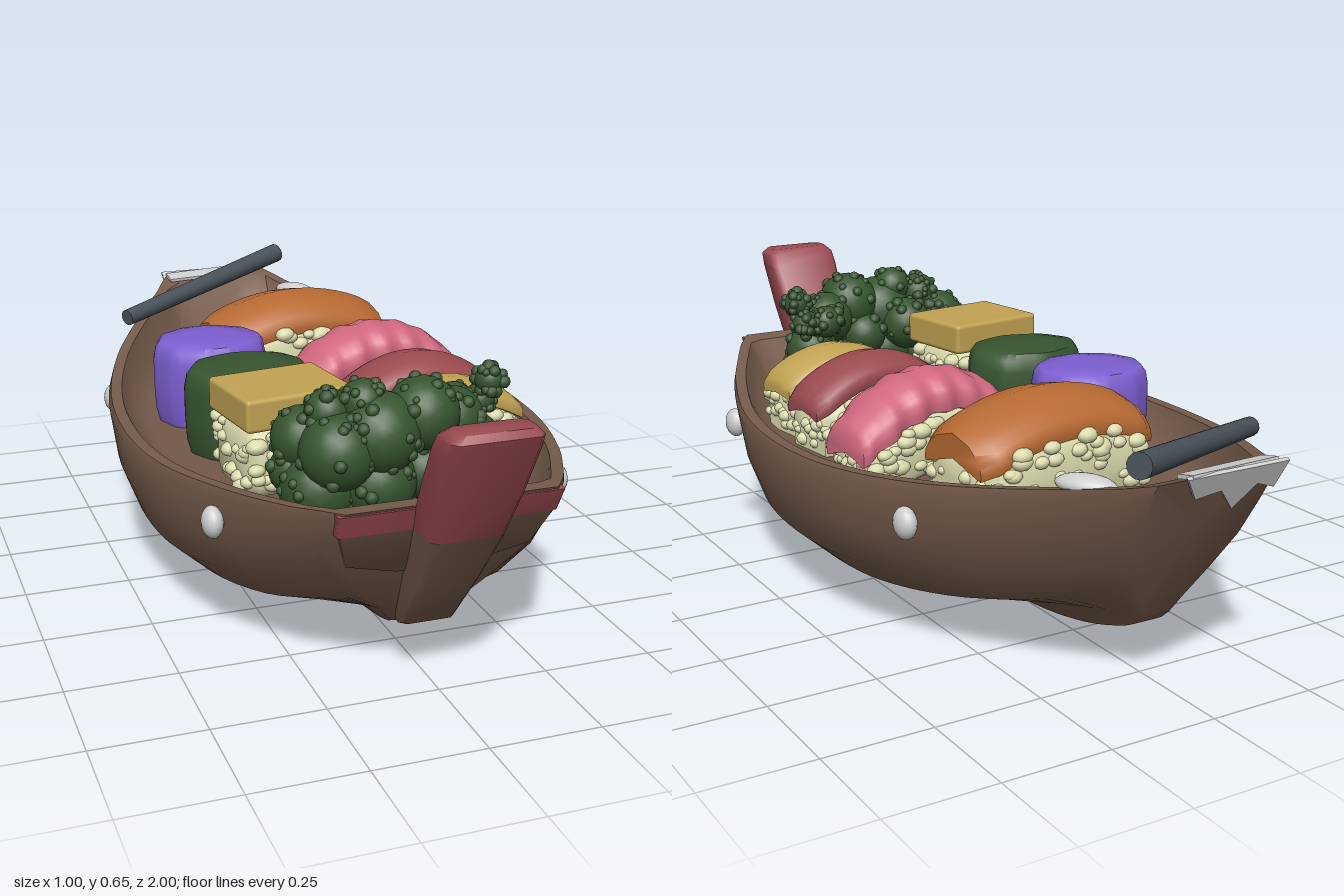
import * as THREE from 'three';
import { mergeGeometries, toCreasedNormals } from 'three/addons/utils/BufferGeometryUtils.js';
import { RoundedBoxGeometry } from 'three/addons/geometries/RoundedBoxGeometry.js';

const colours = {
  wood: 0x765c4b, red: 0x9a4a50, leaf: 0x36542f, purple: 0x7d5fd0, egg: 0xc2a352,
  salmon: 0xb86a32, prawn: 0xd0687e, rice: 0xdcdcae, shell: 0xcfcfcf, slate: 0x48525a,
};
const lerp = THREE.MathUtils.lerp;
const FLOOR = 0.325;

export function createModel() {
  const root = new THREE.Group();
  root.name = 'foodBoat';
  const mats = {};
  for (const [name, color] of Object.entries(colours)) {
    mats[name] = new THREE.MeshStandardMaterial({ color });
    mats[name].name = name;
  }
  let seed = 7;
  const rnd = () => (seed = (seed * 16807) % 2147483647) / 2147483647;

  function add(name, geo, mat, parent = root) {
    const mesh = new THREE.Mesh(geo, mats[mat]);
    mesh.name = name;
    parent.add(mesh);
    return mesh;
  }

  // Skin a row of closed rings and cap both ends
  function loft(rings, crease = 0.65) {
    const n = rings[0].length, pos = rings.flat(2), idx = [];
    for (let i = 0; i < rings.length - 1; i++) {
      for (let j = 0; j < n; j++) {
        const a = i * n + j, b = i * n + (j + 1) % n;
        idx.push(a, b, b + n, a, b + n, a + n);
      }
    }
    [0, rings.length - 1].forEach((r, end) => {
      const centre = pos.length / 3;
      for (let k = 0; k < 3; k++) pos.push(rings[r].reduce((s, p) => s + p[k], 0) / n);
      for (let j = 0; j < n; j++) {
        const a = r * n + j, b = r * n + (j + 1) % n;
        if (end) idx.push(centre, a, b); else idx.push(centre, b, a);
      }
    });
    const geo = new THREE.BufferGeometry();
    geo.setAttribute('position', new THREE.Float32BufferAttribute(pos, 3));
    geo.setIndex(idx);
    return toCreasedNormals(geo, crease);
  }

  // Hull: half sections (x, y as fractions) blended from midship to the ends
  const mid = [[0.04, 0], [0.22, 0.17], [0.74, 0.24], [0.9, 0.42], [0.97, 0.66], [1, 0.95], [0.985, 1]];
  const tip = [[0.22, 0], [0.36, 0.12], [0.6, 0.3], [0.85, 0.52], [0.95, 0.75], [1, 0.95], [0.98, 1]];
  // top z, bottom z, half width, rim y, keel y, end blend, hollow
  const stations = [
    [-0.98, -0.80, 0.15, 0.51, 0.15, 1, 0],
    [-0.935, -0.77, 0.18, 0.497, 0.125, 0.9, 0],
    [-0.90, -0.74, 0.198, 0.488, 0.11, 0.8, 1],
    [-0.70, -0.60, 0.315, 0.45, 0.065, 0.4, 1],
    [-0.50, -0.43, 0.41, 0.42, 0.03, 0.15, 1],
    [-0.25, -0.22, 0.48, 0.395, 0.008, 0, 1],
    [0, 0, 0.5, 0.385, 0, 0, 1],
    [0.25, 0.22, 0.475, 0.39, 0.008, 0, 1],
    [0.50, 0.42, 0.395, 0.41, 0.035, 0.15, 1],
    [0.68, 0.55, 0.31, 0.43, 0.075, 0.5, 1],
    [0.735, 0.59, 0.28, 0.44, 0.095, 0.75, 1],
    [0.75, 0.60, 0.27, 0.442, 0.10, 0.85, 0],
    [0.80, 0.63, 0.235, 0.448, 0.115, 1, 0],
  ];
  // Fair the hull by adding smooth stations along the hollow part
  const faired = [];
  stations.forEach((row, i) => {
    faired.push(row);
    const next = stations[i + 1];
    if (!next || !row[6] || !next[6]) return;
    for (const t of [0.25, 0.5, 0.75]) {
      faired.push(row.map((p1, k) => {
        const p2 = next[k];
        const m1 = (p2 - stations[i - 1][k]) / (next[0] - stations[i - 1][0]) * (next[0] - row[0]);
        const m2 = (stations[i + 2][k] - p1) / (stations[i + 2][0] - row[0]) * (next[0] - row[0]);
        const t2 = t * t, t3 = t2 * t;
        if (k === 6) return 1;
        return (2 * t3 - 3 * t2 + 1) * p1 + (t3 - 2 * t2 + t) * m1 + (3 * t2 - 2 * t3) * p2 + (t3 - t2) * m2;
      }));
    }
  });
  const hullRings = faired.map(([zt, zb, w, rim, keel, b, hollow]) => {
    const half = mid.map((m, i) => [w * lerp(m[0], tip[i][0], b), lerp(keel, rim, lerp(m[1], tip[i][1], b))]);
    const floor = hollow ? FLOOR : rim;
    half.push([w - 0.035, rim], [w - 0.06, lerp(rim, floor, 0.65)], [w - 0.1, floor]);
    const full = [...half, ...half.map(([x, y]) => [-x, y]).reverse()];
    return full.map(([x, y]) => [x, y, lerp(zb, zt, (y - keel) / (rim - keel))]);
  });
  add('hull', loft(hullRings, 0.8), 'wood');

  // Bow post and transom: stacked rectangles with cut corners [y, half width, back z, front z]
  const stack = (rows, cut) => loft(rows.map(([y, x, b, f]) => [
    [x - cut, y, f], [x, y, f - cut], [x, y, b + cut], [x - cut, y, b],
    [cut - x, y, b], [-x, y, b + cut], [-x, y, f - cut], [cut - x, y, f],
  ]), 0.9);
  add('stem', stack([[0.115, 0.052, 0.58, 0.655], [0.135, 0.058, 0.6, 0.695], [0.26, 0.068, 0.66, 0.79],
    [0.395, 0.08, 0.76, 0.88]], 0.012), 'wood');
  add('bowPost', stack([[0.395, 0.08, 0.76, 0.88], [0.5, 0.09, 0.82, 0.935], [0.61, 0.098, 0.89, 0.985],
    [0.64, 0.096, 0.91, 1.0], [0.655, 0.082, 0.93, 0.99]], 0.014), 'red');
  const board = (y, x, out) => {
    const z = 0.63 + 0.17 * (y - 0.115) / 0.333;
    return [y, x, z - 0.03, z + out];
  };
  add('transomBoard', stack([board(0.27, 0.09, 0.006), board(0.305, 0.205, 0.01), board(0.39, 0.235, 0.01)], 0.004), 'wood');
  add('transomBand', stack([board(0.39, 0.24, 0.011), board(0.443, 0.246, 0.006)], 0.004), 'red');

  // Bent slab with a rounded section, running along x
  function slab(len, wid, thick, top, drop, side, ribs = 0) {
    const rings = [], n = 20, steps = ribs ? 36 : 14;
    for (let i = 0; i <= steps; i++) {
      const u = -1 + 2 * i / steps, e = Math.abs(u);
      const edge = 1 - 0.2 * Math.pow(e, 14), rib = 1 + (ribs ? 0.07 * Math.cos(u * Math.PI * ribs) : 0);
      const ring = [];
      for (let j = 0; j < n; j++) {
        const a = j / n * Math.PI * 2, c = Math.cos(a), s = Math.sin(a);
        const y = Math.sign(c) * Math.sqrt(Math.abs(c)) * thick / 2 * edge * rib;
        const v = Math.sign(s) * Math.sqrt(Math.abs(s));
        ring.push([u * len / 2, top - thick / 2 + y - drop * u * u - side * v * v, v * wid / 2 * edge * rib]);
      }
      rings.push(ring);
    }
    return loft(rings, 0.9);
  }

  // Lumpy bed of rice around a solid core
  function riceBed(parent, len, wid, top, drop) {
    add('riceCore', slab(len, wid, top - FLOOR, top, drop, 0.005), 'rice', parent);
    const grains = [];
    for (let i = 0; i < 100; i++) {
      const t = rnd() * 2 - 1, s = i % 2 ? 1 : -1, long = i % 7 > 1;
      const x = long ? t * len * 0.46 : s * len * 0.475, z = long ? s * wid * 0.475 : t * wid * 0.45;
      const u = 2 * x / len;
      const g = new THREE.IcosahedronGeometry(0.013 + rnd() * 0.008, 1);
      g.scale(1.3, 0.9, 1);
      grains.push(g.translate(x, lerp(FLOOR + 0.02, top - 0.02 - drop * u * u, rnd()), z));
    }
    add('riceGrains', mergeGeometries(grains), 'rice', parent);
  }

  function piece(name, x, z, turn) {
    const g = new THREE.Group();
    g.name = name;
    g.position.set(x, 0, z);
    g.rotation.y = turn;
    root.add(g);
    return g;
  }

  // Topped rice pieces: name, x, z, turn, length, width, thickness, top, drop, side droop, colour, ribs
  for (const [name, x, z, turn, len, wid, thick, top, drop, side, mat, ribs] of [
    ['salmonPiece', 0.07, -0.46, 0.12, 0.48, 0.245, 0.058, 0.575, 0.06, 0.05, 'salmon', 0],
    ['prawnPiece', 0.18, -0.14, 0.14, 0.45, 0.175, 0.07, 0.56, 0.1, 0.035, 'prawn', 6],
    ['tunaPiece', 0.195, 0.11, 0.12, 0.39, 0.165, 0.05, 0.547, 0.075, 0.025, 'red', 0],
    ['eggPiece', 0.21, 0.28, 0.12, 0.34, 0.155, 0.045, 0.53, 0.06, 0.015, 'egg', 0],
  ]) {
    const g = piece(name, x, z, turn);
    riceBed(g, len * 0.9, wid * 1.06, top - thick - 0.005, drop * 0.6);
    add('topping', slab(len, wid, thick, top, drop, side, ribs), mat, g);
  }
  const eggBlock = piece('eggBlock', -0.195, 0.28, 0.14);
  riceBed(eggBlock, 0.235, 0.21, 0.495, 0);
  add('topping', new RoundedBoxGeometry(0.262, 0.075, 0.212, 2, 0.01), 'egg', eggBlock).position.y = 0.525;

  // Wrapped rolls with rounded tops and gently fluted sides
  const rollProfile = [[0, FLOOR], [0.92, FLOOR], [0.98, 0.36], [1, 0.42], [1, 0.485], [0.96, 0.515], [0.88, 0.53], [0.5, 0.534], [0, 0.534]];
  for (const [name, x, z, rx, rz, mat, flutes] of [
    ['greenRoll', -0.2, 0.03, 0.15, 0.118, 'leaf', 8],
    ['purpleRoll', -0.222, -0.225, 0.142, 0.125, 'purple', 10],
  ]) {
    const geo = new THREE.LatheGeometry(rollProfile.map(p => new THREE.Vector2(...p)), 40);
    const p = geo.attributes.position;
    for (let i = 0; i < p.count; i++) {
      const f = 1 + 0.02 * Math.cos(flutes * Math.atan2(p.getZ(i), p.getX(i)));
      p.setXYZ(i, p.getX(i) * f * rx, p.getY(i), p.getZ(i) * f * rz);
    }
    add(name, toCreasedNormals(geo, 0.9), mat).position.set(x, 0, z);
  }

  // Leafy garnish: clumps [x, y, z, radius] covered in small buds
  const buds = [];
  for (const [x, y, z, r] of [
    [-0.22, 0.51, 0.51, 0.07], [-0.17, 0.5, 0.59, 0.085], [-0.08, 0.53, 0.59, 0.09], [0.02, 0.56, 0.58, 0.08],
    [0.1, 0.53, 0.55, 0.07], [0.16, 0.46, 0.52, 0.068], [0.18, 0.4, 0.54, 0.06], [0.21, 0.59, 0.5, 0.033],
    [0.195, 0.54, 0.48, 0.035], [0.14, 0.54, 0.47, 0.042], [-0.2, 0.41, 0.55, 0.085], [-0.08, 0.42, 0.58, 0.085],
    [-0.18, 0.575, 0.55, 0.05], [-0.11, 0.595, 0.57, 0.05], [0.03, 0.43, 0.57, 0.065], [-0.24, 0.44, 0.51, 0.055],
    [-0.12, 0.5, 0.51, 0.07], [0.0, 0.48, 0.53, 0.06],
  ]) {
    buds.push(new THREE.IcosahedronGeometry(r, 3).translate(x, y, z));
    for (let i = 0; i < 20; i++) {
      const d = new THREE.Vector3(rnd() - 0.5, rnd() - 0.4, rnd() - 0.5).normalize().multiplyScalar(r * 0.95);
      buds.push(new THREE.IcosahedronGeometry(0.008 + rnd() * 0.008, 1).translate(x + d.x, y + d.y, z + d.z));
    }
  }
  add('garnish', mergeGeometries(buds), 'leaf');

  // Pale studs on the sides, shell on the rim and flat chips over the stern
  function pebble(name, pos, size, rot = [0, 0, 0]) {
    const m = add(name, new THREE.SphereGeometry(1, 18, 12), 'shell');
    m.position.set(...pos);
    m.scale.set(...size);
    m.rotation.set(...rot);
  }
  for (const [x, y, z] of [[0.418, 0.312, 0.44], [0.42, 0.33, -0.485], [-0.41, 0.328, 0.47], [-0.43, 0.325, -0.44]]) {
    pebble('sideStud', [x, y, z], [0.024, 0.036, 0.034]);
  }
  pebble('rimShell', [0.2, 0.475, -0.82], [0.034, 0.022, 0.065], [0, 0.6, 0]);
  const chip = new THREE.Shape([[-0.16, 0.01], [-0.15, -0.06], [-0.1, -0.04], [-0.06, -0.1], [-0.01, -0.04],
    [0.05, -0.05], [0.09, 0.01]].map(p => new THREE.Vector2(...p)));
  const chipPlate = add('sternChips', new THREE.ExtrudeGeometry(chip, { depth: 0.009, bevelEnabled: false }), 'shell');
  chipPlate.position.set(0, 0.507, -0.992);
  chipPlate.rotation.x = -0.465;
  const fold = add('sternFold', new THREE.BoxGeometry(0.23, 0.009, 0.045), 'shell');
  fold.position.set(-0.035, 0.512, -0.962);
  fold.rotation.set(0.2, 0.1, 0);

  // Stick resting across the stern
  const a = new THREE.Vector3(-0.335, 0.475, -0.675), b = new THREE.Vector3(0.19, 0.555, -0.975);
  const stick = add('stick', new THREE.CylinderGeometry(0.027, 0.022, a.distanceTo(b), 14), 'slate');
  stick.position.lerpVectors(a, b, 0.5);
  stick.quaternion.setFromUnitVectors(new THREE.Vector3(0, 1, 0), b.clone().sub(a).normalize());
  return root;
}
